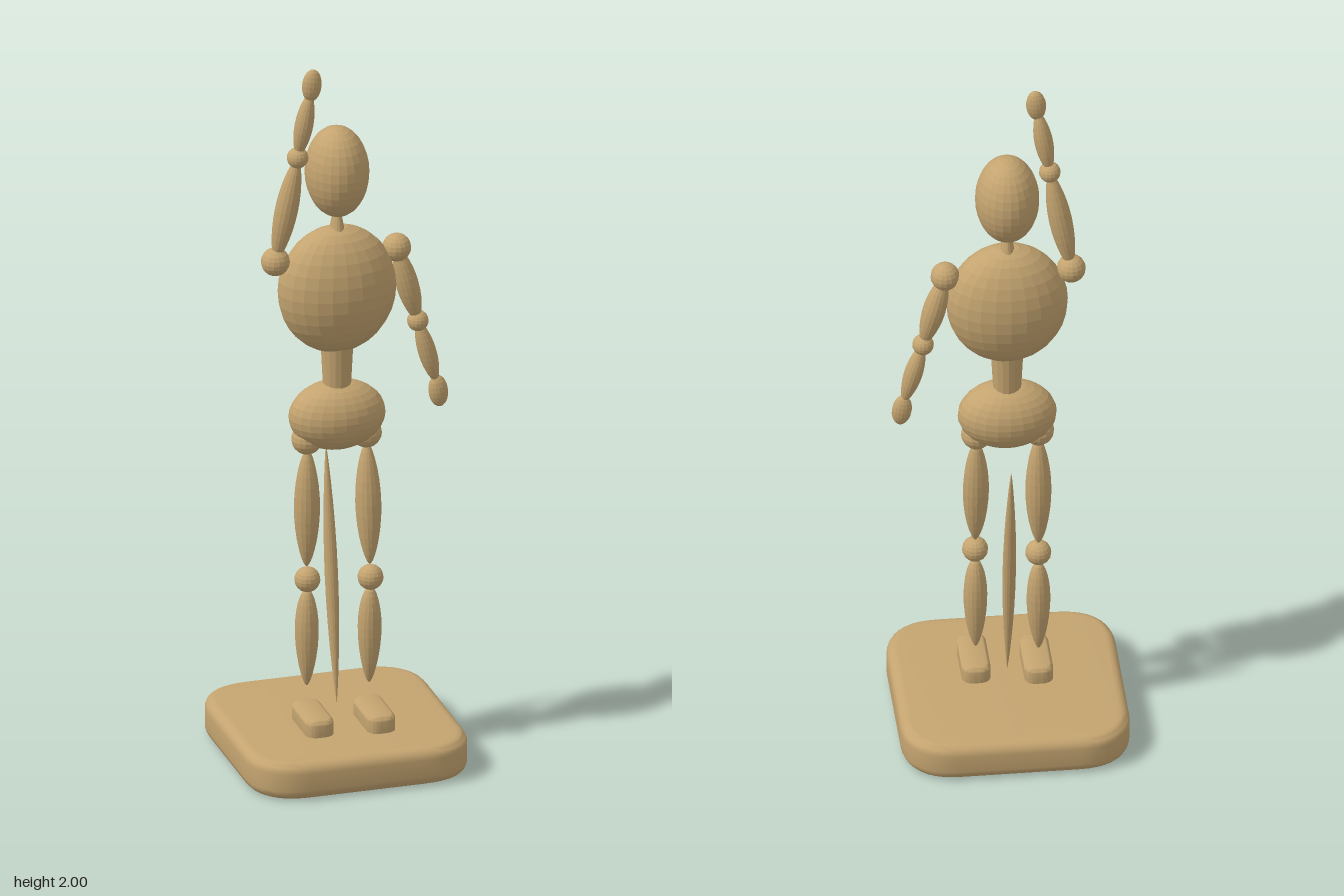
import * as THREE from 'three';
import { toCreasedNormals } from 'three/addons/utils/BufferGeometryUtils.js';

export function createModel() {
  const group = new THREE.Group();
  const wood = new THREE.MeshStandardMaterial({ color: 0xc4a470 });
  wood.name = 'wood';

  const add = (name, geometry, x = 0, y = 0, z = 0) => {
    const mesh = new THREE.Mesh(geometry, wood);
    mesh.name = name;
    mesh.position.set(x, y, z);
    group.add(mesh);
    return mesh;
  };

  // Facet a geometry so that each face has its own normal
  const facet = (geometry) => {
    const flat = geometry.toNonIndexed();
    flat.computeVertexNormals();
    return flat;
  };

  // Faceted ellipsoid
  const ball = (name, pos, rx, ry = rx, rz = rx, cols = 24, rows = 16) =>
    add(name, facet(new THREE.SphereGeometry(1, cols, rows).scale(rx, ry, rz)), ...pos);

  // Turned spindle between two points; skew < 1 moves the widest ring towards the start
  const spindle = (name, from, to, radius, skew = 1, power = 0.6) => {
    const a = new THREE.Vector3(...from);
    const dir = new THREE.Vector3(...to).sub(a);
    const length = dir.length();
    const profile = [];
    for (let i = 0; i <= 16; i++) {
      const t = (1 - Math.cos((Math.PI * i) / 16)) / 2;
      const r = i % 16 ? radius * Math.sin(Math.PI * Math.pow(t, skew)) ** power : 0;
      profile.push(new THREE.Vector2(r, t * length));
    }
    const mesh = add(name, facet(new THREE.LatheGeometry(profile, 16)), ...from);
    mesh.quaternion.setFromUnitVectors(new THREE.Vector3(0, 1, 0), dir.normalize());
    return mesh;
  };

  // Horizontal slab with soft corners and rounded rims, standing on y
  const slab = (name, w, d, h, corner, bevel, x, y, z) => {
    const a = w / 2 - bevel, b = d / 2 - bevel, c = corner;
    const s = new THREE.Shape();
    s.moveTo(-a + c, -b);
    s.lineTo(a - c, -b);
    s.quadraticCurveTo(a, -b, a, -b + c);
    s.lineTo(a, b - c);
    s.quadraticCurveTo(a, b, a - c, b);
    s.lineTo(-a + c, b);
    s.quadraticCurveTo(-a, b, -a, b - c);
    s.lineTo(-a, -b + c);
    s.quadraticCurveTo(-a, -b, -a + c, -b);
    const g = new THREE.ExtrudeGeometry(s, {
      depth: h - 2 * bevel, bevelSize: bevel, bevelThickness: bevel,
      bevelSegments: 5, curveSegments: 10,
    });
    g.rotateX(-Math.PI / 2).translate(0, bevel, 0);
    return add(name, toCreasedNormals(g, 0.7), x, y, z);
  };

  // Stand and support rod
  slab('base', 0.615, 0.615, 0.105, 0.12, 0.028, -0.002, 0, -0.002);
  spindle('supportRod', [0, 0.14, -0.002], [0, 0.85, -0.1], 0.018, 1, 0.8);

  // Head, neck and trunk
  ball('head', [0, 1.682, 0], 0.086, 0.128, 0.096);
  add('neck', facet(new THREE.CylinderGeometry(0.008, 0.022, 0.08, 16).scale(1, 1, 1.5)), 0, 1.54, 0);
  ball('chest', [0, 1.343, 0], 0.163, 0.181, 0.106);
  add('waist', facet(new THREE.CylinderGeometry(0.045, 0.037, 0.16, 16)), 0, 1.125, 0);
  ball('pelvis', [0, 0.978, 0], 0.133, 0.097, 0.09);

  // Legs: the left one steps slightly forward
  for (const [side, x, knee, ankle, foot] of [
    ['left', 0.082, 0.038, 0.025, 0.072],
    ['right', -0.084, 0.004, -0.002, 0.052],
  ]) {
    ball(side + 'Hip', [x, 0.915, 0], 0.042, 0.042, 0.042, 16, 10);
    spindle(side + 'Thigh', [x, 0.89, 0.004], [x, 0.545, knee - 0.006], 0.035);
    ball(side + 'Knee', [x, 0.51, knee], 0.035, 0.035, 0.035, 16, 10);
    spindle(side + 'Shin', [x, 0.48, knee - 0.004], [x, 0.2, ankle], 0.032, 0.8);
    slab(side + 'Foot', 0.078, 0.175, 0.06, 0.018, 0.014, x, 0.092, foot);
  }

  // Arms: the right one is raised, the left one hangs
  for (const [side, shoulder, elbow, wrist, hand, tilt] of [
    ['left', [0.167, 1.44, 0], [0.226, 1.22, 0], [0.278, 1.035, 0], [0.283, 1.01, 0], 0.12],
    ['right', [-0.172, 1.44, 0], [-0.117, 1.744, 0.023], [-0.086, 1.935, 0.038], [-0.082, 1.955, 0.038], -0.08],
  ]) {
    ball(side + 'Shoulder', shoulder, 0.039, 0.039, 0.039, 16, 10);
    spindle(side + 'UpperArm', shoulder, elbow, 0.031);
    ball(side + 'Elbow', elbow, 0.029, 0.029, 0.029, 16, 10);
    spindle(side + 'Forearm', elbow, wrist, 0.025);
    ball(side + 'Hand', hand, 0.027, 0.046, 0.02, 16, 10).rotation.z = tilt;
  }

  return group;
}
